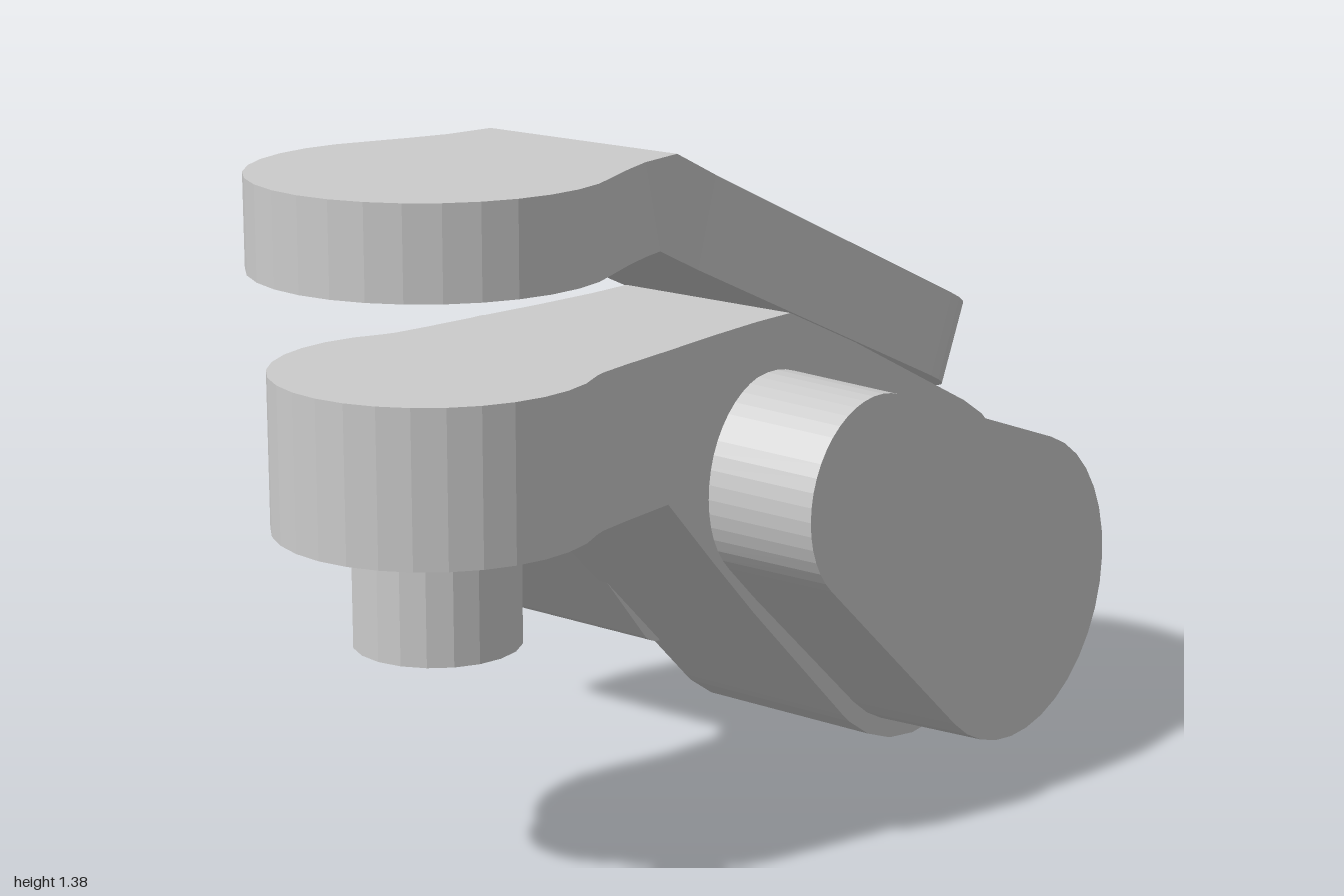
import * as THREE from 'three';

const material = new THREE.MeshStandardMaterial({ color: 0xcccccc, flatShading: true });
const CX = 0.053;               // centre plane of arm and lever
const PZ = -0.62, PY = 0.38;    // pivot axis (z, y)
const DZ = 0.655;               // centre of the round front ends

function part(name, geometry) {
  const mesh = new THREE.Mesh(geometry, material);
  mesh.name = name;
  return mesh;
}

// Skin rectangular sections, ordered towards +z: h = half width, t / b = [z, y] of top / bottom edge
function loft(sections) {
  const pos = [], idx = [];
  for (const { h, t, b } of sections) {
    pos.push(CX + h, t[1], t[0], CX - h, t[1], t[0], CX - h, b[1], b[0], CX + h, b[1], b[0]);
  }
  const n = sections.length;
  for (let s = 0; s < n - 1; s++) {
    for (let i = 0; i < 4; i++) {
      const a = s * 4 + i, b = s * 4 + (i + 1) % 4;
      idx.push(a, b, b + 4, a, b + 4, a + 4);
    }
  }
  const e = (n - 1) * 4;
  idx.push(0, 2, 1, 0, 3, 2, e, e + 1, e + 2, e, e + 2, e + 3);
  const g = new THREE.BufferGeometry();
  g.setAttribute('position', new THREE.Float32BufferAttribute(pos, 3));
  g.setIndex(idx);
  const flat = g.toNonIndexed();
  flat.computeVertexNormals();
  return flat;
}

// Extrude a (z, y) side profile across x from x0 to x1
function sideExtrude(shape, x0, x1) {
  const g = new THREE.ExtrudeGeometry(shape, { depth: x1 - x0, bevelEnabled: false, curveSegments: 10 });
  g.rotateY(-Math.PI / 2);
  g.translate(x1, 0, 0);
  return g;
}

// Linear interpolation through [z, value] stops
function stops(list, z) {
  if (z <= list[0][0]) return list[0][1];
  for (let i = 1; i < list.length; i++) {
    const [z0, v0] = list[i - 1], [z1, v1] = list[i];
    if (z <= z1) return v0 + (v1 - v0) * (z - z0) / (z1 - z0);
  }
  return list[list.length - 1][1];
}

// z positions and half widths of the facets of a round front end
function roundEnd(r, from) {
  const out = [];
  for (let i = 0; i <= 10; i++) {
    const a = from + (Math.PI / 2 - from) * i / 10;
    out.push([DZ + r * Math.sin(a), Math.max(r * Math.cos(a), 0.001)]);
  }
  return out;
}

function armGeometry() {
  const R = 0.375;
  const circle = z => Math.sqrt(Math.max(R * R - (z - PZ) ** 2, 0));
  const top = z => z < -0.78 ? PY + circle(z) : stops([[-0.78, 0.719], [-0.18, 1.015]], z);
  const bottom = z => z < -0.36 ? PY - circle(z) : stops([[-0.36, 0.11], [0.26, 0.71]], z);
  const width = [[-0.05, 0.215], [0.1, 0.226], [0.26, 0.243], [0.4, 0.256], [0.48, 0.266]];
  const zs = [-0.78, -0.36, -0.18, ...width.map(w => w[0])];
  for (let a = 0; a <= 130; a += 13) zs.push(PZ - R * Math.cos(a * Math.PI / 180));
  const sections = zs.filter(z => z <= -0.36 || z >= -0.18).sort((a, b) => a - b)
    .map(z => ({ h: stops(width, z), t: [z, top(z)], b: [z, bottom(z)] }));
  for (const [z, h] of roundEnd(0.312, -0.5)) sections.push({ h, t: [z, 1.015], b: [z, 0.71] });
  return loft(sections);
}

function leverGeometry() {
  const sections = [];
  const slanted = (u, h) => ({
    h,
    t: [0.23 - 1.115 * u, 1.39 - 0.5 * u],
    b: [0.28 - 1.09 * u, 1.21 - 0.485 * u],
  });
  // rounded rear tip, then the sloping grip
  for (let i = 0; i <= 8; i++) {
    const a = Math.PI / 2 * (1 - i / 8);
    sections.push(slanted(0.845 + 0.155 * Math.sin(a), Math.max(0.225 * Math.cos(a), 0.001)));
  }
  sections.push(slanted(0.12, 0.226), slanted(0, 0.238));
  // flare into the flat round head
  for (const [z, h] of [[0.34, 0.252], [0.42, 0.278], ...roundEnd(0.345, -0.46)]) {
    sections.push({ h, t: [z, 1.39], b: [z, 1.21] });
  }
  return loft(sections);
}

// Pear-shaped cover, slightly drafted towards its outer face
function coverGeometry() {
  const s = new THREE.Shape();
  const upper = Math.atan2(0.94, -0.34), lower = Math.atan2(-0.746, 0.666);
  s.absarc(-0.1, 0.69, 0.217, lower, upper, false);
  s.absarc(PZ, PY, 0.335, upper, lower + 2 * Math.PI, false);
  const g = sideExtrude(s, 0.25, 0.527);
  const p = g.attributes.position;
  for (let i = 0; i < p.count; i++) {
    if (p.getX(i) < 0.4) continue;
    p.setY(i, 0.48 + (p.getY(i) - 0.48) * 0.975);
    p.setZ(i, -0.42 + (p.getZ(i) + 0.42) * 0.985);
  }
  g.computeVertexNormals();
  return g;
}

// Block hugging the pivot boss with a concave rear face
function hookGeometry() {
  const s = new THREE.Shape();
  s.absarc(-0.1, 0.69, 0.217, -0.78, Math.atan2(0.94, -0.34), false);
  s.lineTo(-0.55, 0.757);
  s.quadraticCurveTo(-0.6, 0.735, -0.588, 0.70);
  s.quadraticCurveTo(-0.575, 0.67, -0.53, 0.672);
  s.absarc(PZ, PY, 0.306, 1.27, -0.27, true);
  s.quadraticCurveTo(-0.305, 0.225, -0.255, 0.222);
  s.quadraticCurveTo(-0.22, 0.22, -0.195, 0.242);
  return sideExtrude(s, -0.53, -0.14);
}

export function createModel() {
  const group = new THREE.Group();
  group.add(part('arm', armGeometry()));
  group.add(part('lever', leverGeometry()));
  group.add(part('leftCover', coverGeometry()));
  group.add(part('rightHook', hookGeometry()));

  // round boss on the pivot axis
  const boss = part('pivotBoss', new THREE.CylinderGeometry(0.305, 0.305, 0.16, 22));
  boss.rotation.z = Math.PI / 2;
  boss.position.set(-0.22, PY, PZ);
  group.add(boss);

  // pin below the front of the arm
  const pin = part('frontPin', new THREE.CylinderGeometry(0.163, 0.163, 0.26, 20));
  pin.position.set(CX, 0.61, DZ);
  group.add(pin);
  return group;
}
